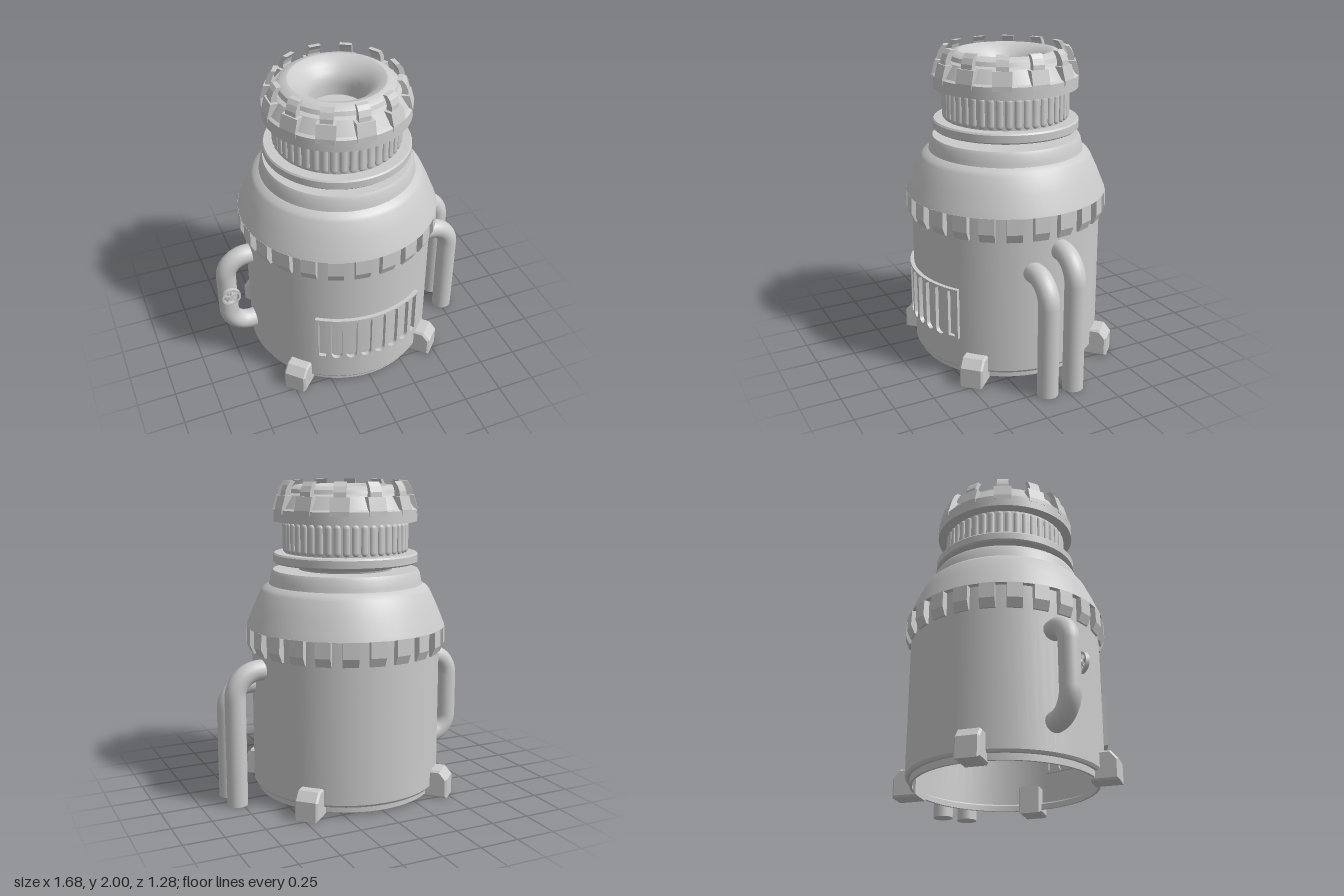
import * as THREE from 'three';
import { toCreasedNormals } from 'three/addons/utils/BufferGeometryUtils.js';

const material = new THREE.MeshStandardMaterial({ color: 0xcccccc, side: THREE.DoubleSide });
const vec = (p) => new THREE.Vector3(...p);

export function createModel() {
  const model = new THREE.Group();
  model.name = 'canister';

  const add = (name, geometry, parent = model) => {
    const mesh = new THREE.Mesh(geometry, material);
    mesh.name = name;
    parent.add(mesh);
    return mesh;
  };

  // Turned part from [radius, height] pairs
  const turned = (name, profile, segments = 72) => add(name, toCreasedNormals(
    new THREE.LatheGeometry(profile.map(([r, y]) => new THREE.Vector2(r, y)), segments), 0.5));

  // Radial block: [radius, height] outline, given width, repeated around the axis
  const radial = (name, outline, width, count, start = 0, bevel = 0) => {
    const group = new THREE.Group();
    group.name = name + 's';
    model.add(group);
    const shape = new THREE.Shape(outline.map(([r, y]) => new THREE.Vector2(r, y)));
    const geometry = new THREE.ExtrudeGeometry(shape, {
      depth: width - 2 * bevel, bevelEnabled: bevel > 0, bevelSize: bevel,
      bevelThickness: bevel, bevelOffset: -bevel, bevelSegments: 1,
    });
    geometry.translate(0, 0, bevel - width / 2);
    for (let i = 0; i < count; i++) {
      add(name, geometry, group).rotation.y = start + (i / count) * Math.PI * 2;
    }
  };

  // Round pipe through corner points with rounded bends and closed ends
  const pipe = (name, corners, radius, bend) => {
    const pts = corners.map(vec);
    const path = new THREE.CurvePath();
    let from = pts[0];
    for (let i = 1; i < pts.length - 1; i++) {
      const a = pts[i].clone().add(pts[i - 1].clone().sub(pts[i]).setLength(bend));
      const b = pts[i].clone().add(pts[i + 1].clone().sub(pts[i]).setLength(bend));
      const k = 0.55;
      path.add(new THREE.LineCurve3(from, a));
      path.add(new THREE.CubicBezierCurve3(a, a.clone().lerp(pts[i], k), b.clone().lerp(pts[i], k), b));
      from = b;
    }
    const last = pts[pts.length - 1];
    path.add(new THREE.LineCurve3(from, last));
    const group = new THREE.Group();
    group.name = name;
    model.add(group);
    add(name + 'Tube', new THREE.TubeGeometry(path, 80, radius, 24), group);
    [[pts[0], pts[1]], [last, pts[pts.length - 2]]].forEach(([end, next]) => {
      const cap = add(name + 'End', new THREE.CircleGeometry(radius, 24), group);
      cap.position.copy(end);
      cap.lookAt(end.clone().multiplyScalar(2).sub(next));
    });
  };

  // Hollow body, open underneath, with shoulder dome and top lip
  turned('body', [[0.56, 0.02], [0.575, 0.02], [0.575, 0.06], [0.595, 0.06], [0.605, 0.075],
    [0.605, 1.0], [0.605, 1.088], [0.638, 1.088], [0.63, 1.11], [0.585, 1.22], [0.54, 1.315],
    [0.525, 1.335], [0.49, 1.355], [0.485, 1.375], [0.475, 1.425], [0.463, 1.445], [0.3, 1.445]]);
  radial('beltTooth', [[0.59, 0.935], [0.617, 0.935], [0.641, 0.99], [0.638, 1.09], [0.59, 1.09]],
    0.095, 24, Math.PI / 24);
  radial('foot', [[0.54, 0], [0.71, 0], [0.71, 0.125], [0.665, 0.178], [0.54, 0.178]],
    0.15, 4, Math.PI / 4, 0.012);

  // Neck, collar and ribbed grip
  turned('neck', [[0.295, 1.44], [0.3, 1.455], [0.325, 1.475], [0.33, 1.49]]);
  turned('collar', [[0, 1.488], [0.45, 1.488], [0.46, 1.497], [0.46, 1.542], [0.452, 1.552], [0, 1.552]]);
  turned('grip', [[0.387, 1.55], [0.387, 1.755]]);
  const ribs = new THREE.Group();
  ribs.name = 'gripRibs';
  model.add(ribs);
  const ribGeometry = new THREE.CapsuleGeometry(0.022, 0.145, 4, 10).scale(1, 1, 0.6);
  for (let i = 0; i < 44; i++) {
    const a = (i / 44) * Math.PI * 2;
    const rib = add('gripRib', ribGeometry, ribs);
    rib.position.set(Math.sin(a) * 0.387, 1.652, Math.cos(a) * 0.387);
    rib.rotation.y = a;
  }

  // Cap with rounded rim and funnel
  turned('cap', [[0.38, 1.75], [0.454, 1.75], [0.454, 1.825], [0.435, 1.835], [0.385, 1.915],
    [0.36, 1.925], [0.35, 1.95], [0.325, 1.967], [0.295, 1.973], [0.26, 1.962], [0.225, 1.935],
    [0.19, 1.9], [0.172, 1.865], [0.165, 1.83], [0.165, 1.76], [0, 1.76]]);
  radial('clawBase', [[0.36, 1.8], [0.454, 1.8], [0.454, 1.83], [0.432, 1.912], [0.36, 1.912]], 0.115, 12);
  radial('claw', [[0.38, 1.88], [0.425, 1.88], [0.42, 1.94], [0.405, 1.975], [0.385, 2],
    [0.355, 2], [0.375, 1.97], [0.385, 1.94]], 0.075, 12);

  // Curved vent panel: eight slotted cells wrapped onto the body
  const vent = new THREE.Group();
  vent.name = 'vent';
  model.add(vent);
  const ventCell = (center, width, slotWidth, slotHeight, round) => {
    const h = 0.166, R = 0.605, w = width / 2, s = slotWidth / 2, t = slotHeight / 2;
    const shape = new THREE.Shape([[-w, -h], [0, -h], [w, -h], [w, h], [0, h], [-w, h]]
      .map(([x, y]) => new THREE.Vector2(x, y)));
    const hole = new THREE.Path();
    if (round) {
      hole.absarc(0, t - s, s, 0, Math.PI, false);
      hole.absarc(0, s - t, s, Math.PI, Math.PI * 2, false);
    } else {
      hole.setFromPoints([[-s, -t], [s, -t], [s, t], [-s, t]].map(([x, y]) => new THREE.Vector2(x, y)));
    }
    shape.holes.push(hole);
    const geometry = new THREE.ExtrudeGeometry(shape, { depth: 0.04, bevelEnabled: false, curveSegments: 8 });
    const p = geometry.attributes.position;
    for (let i = 0; i < p.count; i++) {
      const a = (p.getX(i) + center) / R, r = 0.59 + p.getZ(i);
      p.setXYZ(i, Math.sin(a) * r, p.getY(i) + 0.434, Math.cos(a) * r);
    }
    add('ventCell', toCreasedNormals(geometry, 0.4), vent);
  };
  const pitch = 0.0925;
  for (let i = 0; i < 6; i++) ventCell((i - 2.5) * pitch, pitch, 0.066, 0.325, true);
  for (const side of [-1, 1]) ventCell(side * (3 * pitch + 0.044), 0.088, 0.045, 0.3, false);

  // Side handle and its small wheel valve
  pipe('handle', [[-0.57, 0.817, 0], [-0.775, 0.817, 0], [-0.775, 0.25, 0], [-0.57, 0.25, 0]], 0.064, 0.14);
  const valve = new THREE.Group();
  valve.name = 'valve';
  valve.position.set(-0.772, 0.565, 0);
  model.add(valve);
  add('valveStem', new THREE.CylinderGeometry(0.02, 0.02, 0.06, 16).rotateX(Math.PI / 2), valve).position.z = 0.055;
  add('valveRim', toCreasedNormals(new THREE.LatheGeometry([[0.05, -0.012], [0.063, -0.012],
    [0.063, 0.012], [0.05, 0.012], [0.05, -0.012]].map(([x, y]) => new THREE.Vector2(x, y)), 32)
    .rotateX(Math.PI / 2), 0.5), valve).position.z = 0.083;
  for (let i = 0; i < 5; i++) {
    const a = (i / 5) * Math.PI * 2 + Math.PI / 2;
    const spoke = add('valveSpoke', new THREE.BoxGeometry(0.055, 0.012, 0.012), valve);
    spoke.position.set(Math.cos(a) * 0.0275, Math.sin(a) * 0.0275, 0.083);
    spoke.rotation.z = a;
  }

  // Two drain pipes running to the ground
  pipe('tallPipe', [[0.57, 0.85, -0.06], [0.779, 0.85, -0.06], [0.779, 0, -0.06]], 0.065, 0.16);
  pipe('shortPipe', [[0.57, 0.73, 0.115], [0.776, 0.73, 0.115], [0.776, 0, 0.115]], 0.065, 0.15);

  model.position.x = -0.005;
  return model;
}
